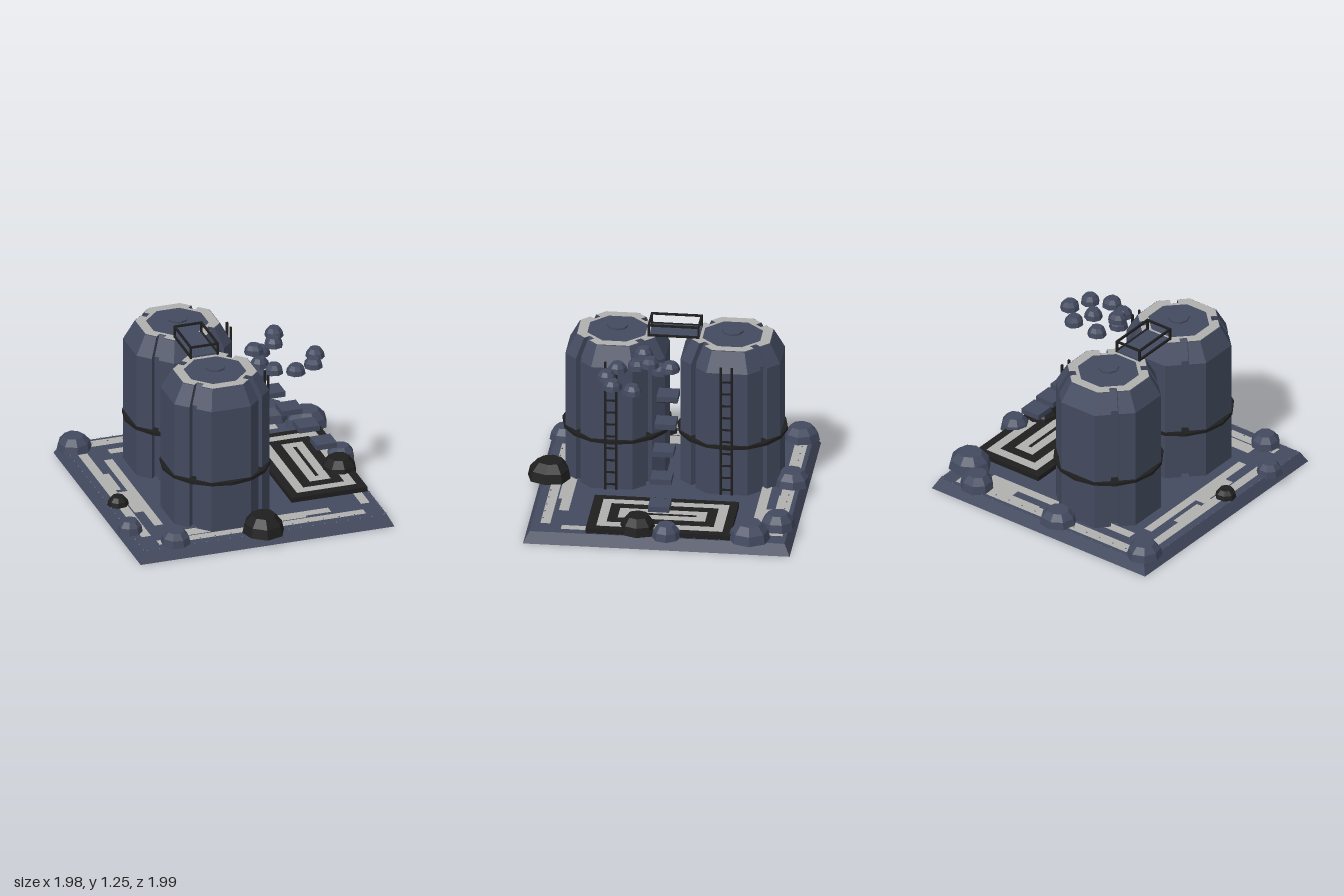
import * as THREE from 'three';

const mat = (name, color) => {
  const m = new THREE.MeshStandardMaterial({ color, flatShading: true, side: THREE.DoubleSide });
  m.name = name;
  return m;
};

export function createModel() {
  const root = new THREE.Group();
  root.name = 'tankStation';
  const slate = mat('slate', 0x434a5f);
  const black = mat('black', 0x1f1f1f);
  const grey = mat('paleGrey', 0xb0b0af);

  const add = (parent, name, geo, material, x = 0, y = 0, z = 0) => {
    const m = new THREE.Mesh(geo, material);
    m.name = name;
    m.position.set(x, y, z);
    parent.add(m);
    return m;
  };
  // Box given by its limits on each axis
  const span = (parent, name, material, x0, x1, y0, y1, z0, z1) =>
    add(parent, name, new THREE.BoxGeometry(x1 - x0, y1 - y0, z1 - z0), material,
      (x0 + x1) / 2, (y0 + y1) / 2, (z0 + z1) / 2);

  // Square base: sloping sides and a top, hollow underneath
  const GROUND = 0.08;
  const skirt = new THREE.CylinderGeometry(0.905 * Math.SQRT2, 0.946 * Math.SQRT2, GROUND, 4, 1, true);
  skirt.rotateY(Math.PI / 4);
  add(root, 'baseSkirt', skirt, slate, -0.005, GROUND / 2, -0.024);
  const floor = new THREE.PlaneGeometry(1.81, 1.81);
  floor.rotateX(-Math.PI / 2);
  add(root, 'baseTop', floor, slate, -0.005, GROUND, -0.024);

  // Worn painted lines on the ground: x0, x1, z0, z1
  const lines = [
    [-0.73, 0.785, -0.9, -0.81], [0.355, 0.785, -0.81, -0.765], [0.115, 0.355, -0.81, -0.8],
    [-0.63, 0.62, -0.735, -0.665], [0.355, 0.62, -0.765, -0.735],
    [-0.855, -0.785, -0.72, 0.665], [-0.785, -0.745, -0.37, -0.1],
    [-0.71, -0.645, -0.58, -0.065], [-0.785, -0.645, -0.065, 0.01],
    [-0.775, -0.71, 0.01, 0.28], [-0.71, -0.645, 0.01, 0.52],
    [-0.63, 0.54, 0.645, 0.715], [-0.63, 0.35, 0.715, 0.74],
    [-0.775, 0.765, 0.75, 0.82], [0.78, 0.845, 0.49, 0.665],
  ];
  for (const [x0, x1, z0, z1] of lines) {
    const line = new THREE.PlaneGeometry(x1 - x0, z1 - z0);
    line.rotateX(-Math.PI / 2);
    add(root, 'groundLine', line, grey, (x0 + x1) / 2, GROUND + 0.003, (z0 + z1) / 2);
  }

  // Rivets round the rim and along the front and back lines
  const rivet = new THREE.ConeGeometry(0.01, 0.01, 4, 1, true);
  const rivetY = GROUND + 0.005;
  for (let i = 0; i < 21; i++) {
    const t = -0.88 + i * 0.088;
    for (const s of [-1, 1]) {
      add(root, 'rimRivet', rivet, slate, t, rivetY, -0.024 + s * 0.9);
      add(root, 'rimRivet', rivet, slate, -0.005 + s * 0.9, rivetY, t - 0.024);
    }
  }
  for (let i = 0; i < 13; i++) {
    add(root, 'lineRivet', rivet, slate, -0.7 + i * 0.115, rivetY, -0.865);
    add(root, 'lineRivet', rivet, slate, -0.7 + i * 0.115, rivetY, 0.81);
  }

  // Octagonal tank section of apothem a, with a slot in each diagonal side
  const SLOT_DEPTH = 0.045, SLOT_HALF = 0.027;
  const section = (a) => {
    const half = a * Math.tan(Math.PI / 8), inner = a - SLOT_DEPTH;
    const side = [[a, -half], [a, -SLOT_HALF], [inner, -SLOT_HALF],
      [inner, SLOT_HALF], [a, SLOT_HALF], [a, half]];
    const pts = [];
    for (let q = 0; q < 4; q++) {
      for (const p of side) {
        pts.push(new THREE.Vector2(...p).rotateAround(new THREE.Vector2(), Math.PI / 4 + q * Math.PI / 2));
      }
    }
    return pts;
  };
  const position = [], index = [];
  [[0.08, 0.354], [1.02, 0.354], [1.16, 0.28]].forEach(([y, a], level) => {
    const pts = section(a), n = pts.length;
    pts.forEach((p, i) => {
      position.push(p.x, y, -p.y);
      if (level === 0) return;
      const j = (i + 1) % n, lo = (level - 1) * n, hi = level * n;
      index.push(lo + i, lo + j, hi + j, lo + i, hi + j, hi + i);
    });
  });
  const wallGeo = new THREE.BufferGeometry();
  wallGeo.setAttribute('position', new THREE.Float32BufferAttribute(position, 3));
  wallGeo.setIndex(index);
  wallGeo.computeVertexNormals();

  const topGeo = new THREE.ShapeGeometry(new THREE.Shape(section(0.28)));
  topGeo.rotateX(-Math.PI / 2);
  const ringShape = new THREE.Shape(section(0.275));
  ringShape.holes.push(new THREE.Path(Array.from({ length: 8 }, (_, i) => {
    const t = (i + 0.5) * Math.PI / 4, r = 0.205 / Math.cos(Math.PI / 8);
    return new THREE.Vector2(r * Math.cos(t), r * Math.sin(t));
  })));
  const ringGeo = new THREE.ShapeGeometry(ringShape);
  ringGeo.rotateX(-Math.PI / 2);
  const bandGeo = new THREE.CylinderGeometry(0.391, 0.391, 0.023, 16, 1, false, Math.PI / 8);

  for (const z of [-0.431, 0.386]) {
    const tank = new THREE.Group();
    tank.name = 'tank';
    tank.position.set(-0.213, 0, z);
    root.add(tank);
    add(tank, 'tankWall', wallGeo, slate);
    add(tank, 'tankTop', topGeo, slate, 0, 1.16, 0);
    add(tank, 'tankBand', bandGeo, black, 0, 0.453, 0);
    add(tank, 'paintedRing', ringGeo, grey, 0, 1.163, 0);
    add(tank, 'tankLid', new THREE.CylinderGeometry(0.075, 0.075, 0.012, 8), slate, 0, 1.19, 0);

    // Ladder on the tank's left side
    for (const s of [-1, 1]) {
      add(tank, 'ladderRail', new THREE.BoxGeometry(0.014, 0.99, 0.016), black, 0.383, 0.585, 0.003 + s * 0.039);
    }
    for (let i = 0; i < 10; i++) {
      add(tank, 'ladderRung', new THREE.BoxGeometry(0.01, 0.012, 0.08), black, 0.383, 0.13 + i * 0.093, 0.003);
    }
  }

  // Railed bridge between the tank tops
  span(root, 'bridgeDeck', slate, -0.31, -0.115, 1.162, 1.174, -0.205, 0.15);
  for (const x of [-0.313, -0.113]) {
    for (const y of [1.172, 1.248]) {
      span(root, 'bridgeRail', black, x - 0.007, x + 0.007, y - 0.007, y + 0.007, -0.206, 0.161);
    }
    for (const z of [-0.199, 0.154]) {
      span(root, 'bridgePost', black, x - 0.007, x + 0.007, 1.16, 1.25, z - 0.007, z + 0.007);
    }
  }
  for (const z of [-0.199, 0.154]) {
    span(root, 'bridgeEndRail', black, -0.32, -0.106, 1.241, 1.255, z - 0.007, z + 0.007);
  }

  // Floating steps, the highest with a dark underside
  for (let i = 0; i < 5; i++) {
    add(root, 'floatingStep', new THREE.BoxGeometry(0.152, 0.04, 0.15), slate,
      0.223 + i * 0.1283, 0.87 - i * 0.154, -0.024);
  }
  span(root, 'stepUnderside', black, 0.147, 0.299, 0.846, 0.851, -0.099, 0.051);

  // Landing pad with nested painted rectangles
  span(root, 'landingPad', black, 0.325, 0.89, GROUND, 0.115, -0.54, 0.485);
  [[0.388, 0.83, -0.48, 0.415], [0.457, 0.76, -0.41, 0.35], [0.53, 0.686, -0.34, 0.28], [0.595, 0.62, -0.27, 0.21]]
    .forEach(([x0, x1, z0, z1], i) =>
      span(root, 'padStripe', i % 2 ? black : grey, x0, x1, 0.113, 0.117 + i * 0.0015, z0, z1));

  // Faceted boulders, open underneath
  let seed = 7;
  const rand = () => (seed = (seed * 16807) % 2147483647) / 2147483647;
  const rock = (name, material, x, y, z, r, h) => {
    const pts = [[1, 0], [0.9, 0.55], [0.58, 1], [0, 1]]
      .map(([a, b]) => new THREE.Vector2(a * r, b * h));
    const geo = new THREE.LatheGeometry(pts, 8);
    const p = geo.attributes.position;
    // Uneven facets: same stretch per spoke, seam kept closed
    const stretch = Array.from({ length: 8 }, () => 0.94 + rand() * 0.1);
    for (let i = 0; i < p.count; i++) {
      const k = stretch[Math.floor(i / pts.length) % 8];
      p.setX(i, p.getX(i) * k);
      p.setZ(i, p.getZ(i) * k);
    }
    add(root, name, geo, material, x, y, z).rotation.y = rand() * 3;
  };
  [
    [slate, -0.845, -0.843, 0.13, 0.1], [slate, -0.1, -0.865, 0.133, 0.1],
    [slate, 0.63, -0.85, 0.125, 0.11], [slate, 0.83, -0.67, 0.153, 0.12],
    [slate, 0.885, -0.085, 0.105, 0.1], [slate, -0.9, 0.54, 0.093, 0.09],
    [slate, -0.655, 0.815, 0.11, 0.095], [black, -0.84, 0.11, 0.077, 0.065],
    [black, 0.8, 0.125, 0.133, 0.12], [black, -0.01, 0.84, 0.157, 0.13],
  ].forEach(([m, x, z, r, h]) => rock('boulder', m, x, GROUND, z, r, h));

  // Floating stones in two layers
  [[0.154, 0.157], [0.32, 0.093], [0.378, -0.057]]
    .forEach(([x, z]) => rock('floatingStone', slate, x, 1.135, z, 0.07, 0.066));
  [[0.245, 0.033], [0.18, 0.203], [0.245, 0.333], [0.388, 0.397], [0.537, 0.337], [0.6, 0.187]]
    .forEach(([x, z]) => rock('floatingStone', slate, x, 1.05, z, 0.07, 0.066));

  return root;
}
